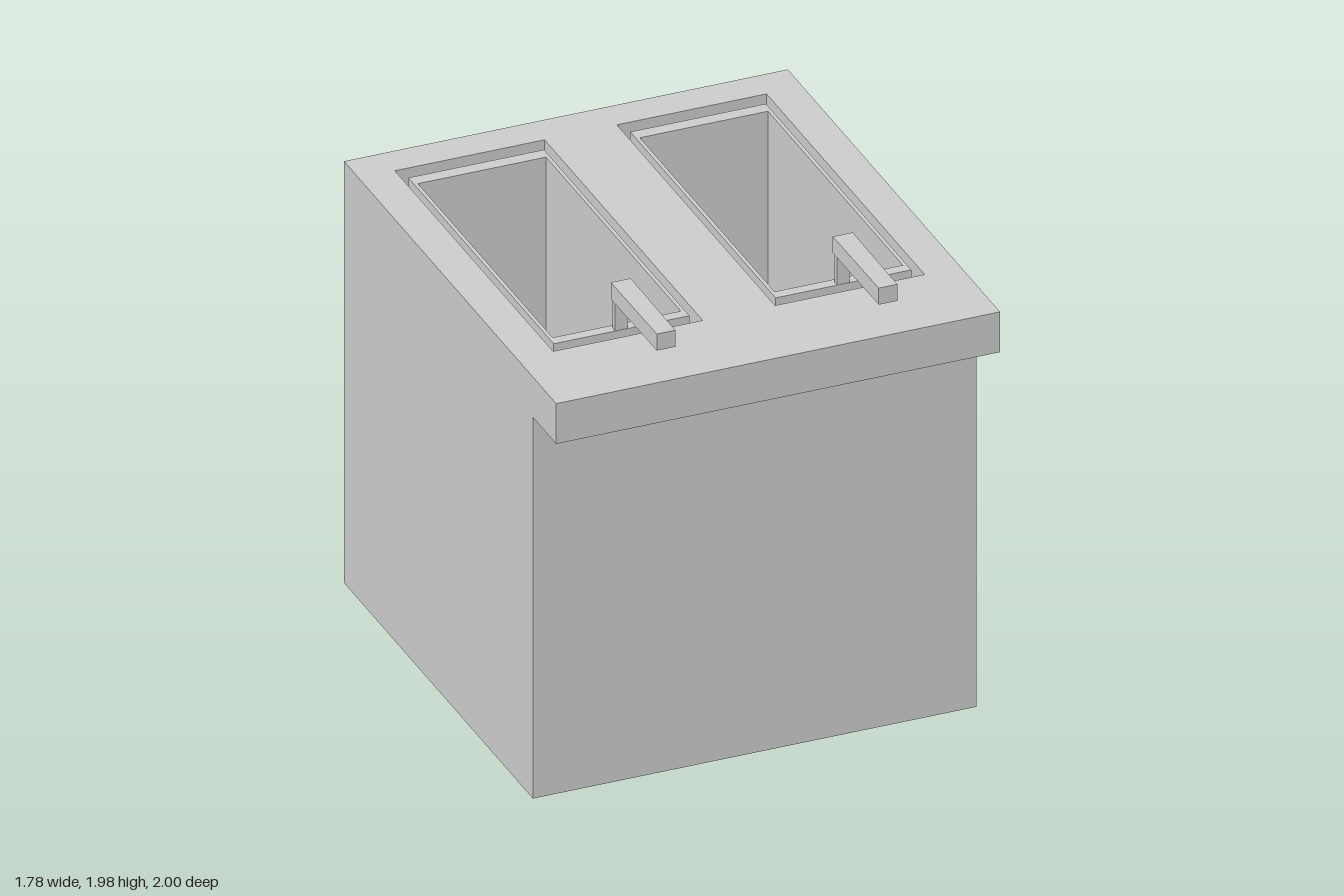
import * as THREE from 'three';

const material = new THREE.MeshStandardMaterial({ color: 0xcccccc, flatShading: true });
const insideMaterial = new THREE.MeshStandardMaterial({ color: 0xcccccc, flatShading: true, side: THREE.BackSide });

const TOP = 1.78, HALF_WIDTH = 0.89;

function addMesh(parent, name, geometry, mat = material) {
  const mesh = new THREE.Mesh(geometry, mat);
  mesh.name = name;
  parent.add(mesh);
  return mesh;
}

// Box given by its minimum and maximum corners
function boxBetween(x0, x1, y0, y1, z0, z1) {
  return new THREE.BoxGeometry(x1 - x0, y1 - y0, z1 - z0)
    .translate((x0 + x1) / 2, (y0 + y1) / 2, (z0 + z1) / 2);
}

// Drop the upward-facing triangles so a solid is left open on top
function removeTop(geometry) {
  const g = geometry.index ? geometry.toNonIndexed() : geometry;
  const p = g.attributes.position, n = g.attributes.normal, kept = [];
  for (let i = 0; i < p.count; i += 3) {
    if (n.getY(i) > 0.9) continue;
    for (let k = i; k < i + 3; k++) kept.push(p.getX(k), p.getY(k), p.getZ(k));
  }
  const open = new THREE.BufferGeometry();
  open.setAttribute('position', new THREE.Float32BufferAttribute(kept, 3));
  open.computeVertexNormals();
  return open;
}

// Rectangle in plan; shape y is -z so it lies flat after rotating about x
function planRect(Type, x0, x1, z0, z1) {
  return new Type([[x0, -z1], [x1, -z1], [x1, -z0], [x0, -z0]].map(([x, y]) => new THREE.Vector2(x, y)));
}

export function createModel() {
  const model = new THREE.Group();
  model.name = 'twinBasinUnit';

  // Cabinet: L-shaped side profile with the overhanging front lip
  const profile = new THREE.Shape(
    [[1, 0], [1, TOP], [-1, TOP], [-1, 1.61], [-0.78, 1.61], [-0.78, 0]].map(([x, y]) => new THREE.Vector2(x, y)));
  const cabinet = new THREE.ExtrudeGeometry(profile, { depth: 2 * HALF_WIDTH, bevelEnabled: false })
    .translate(0, 0, -HALF_WIDTH).rotateY(Math.PI / 2);
  addMesh(model, 'cabinet', removeTop(cabinet));

  // Worktop with one opening for each well
  const top = planRect(THREE.Shape, -HALF_WIDTH, HALF_WIDTH, -1, 1);
  for (const c of [-0.445, 0.445]) top.holes.push(planRect(THREE.Path, c - 0.3, c + 0.3, -0.86, 0.63));
  addMesh(model, 'worktop', new THREE.ShapeGeometry(top).rotateX(-Math.PI / 2).translate(0, TOP, 0));

  for (const [side, c] of [['right', -0.445], ['left', 0.445]]) {
    // Well sunk into the cabinet
    const well = removeTop(boxBetween(-0.3, 0.3, 0.9, TOP, -0.86, 0.63));
    addMesh(model, side + 'Well', well, insideMaterial).position.x = c;

    // Basket hanging in the well
    const basket = new THREE.Group();
    basket.name = side + 'Basket';
    basket.position.x = c;
    model.add(basket);
    const ring = planRect(THREE.Shape, -0.272, 0.272, -0.8, 0.57);
    ring.holes.push(planRect(THREE.Path, -0.257, 0.257, -0.745, 0.525));
    addMesh(basket, 'basketWalls', new THREE.ExtrudeGeometry(ring, { depth: 0.8, bevelEnabled: false })
      .rotateX(-Math.PI / 2).translate(0, TOP - 0.805, 0));
    addMesh(basket, 'basketFloor', boxBetween(-0.265, 0.265, 0.98, 1.01, -0.78, 0.55));

    // Upright post and grip, slightly narrower at the front end
    addMesh(basket, 'handlePost', boxBetween(-0.025, 0.025, TOP - 0.02, 1.965, 0.543, 0.568));
    const grip = boxBetween(-0.04, 0.04, 1.91, 1.98, 0.563, 0.99);
    const p = grip.attributes.position;
    for (let i = 0; i < p.count; i++) if (p.getZ(i) > 0.8) p.setX(i, p.getX(i) * 0.93);
    addMesh(basket, 'handleGrip', grip);
  }
  return model;
}
